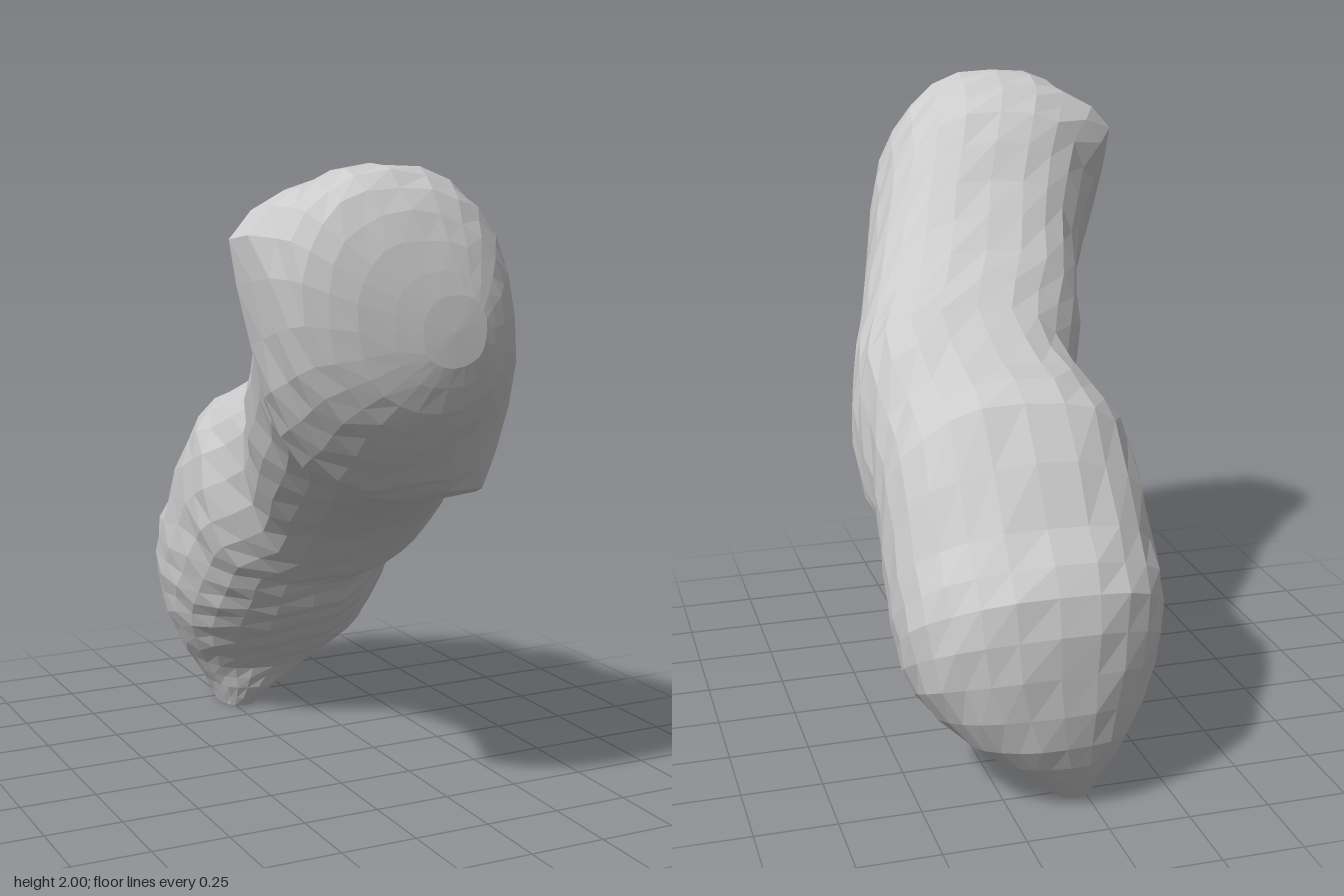
import * as THREE from 'three';

// Cross-sections from the front head to the foot:
// [upper z, upper y, lower z, lower y, min x, max x, sideways lean of the top]
const SECTIONS = [
  [0.97, 1.65, 0.97, 1.45, -0.12, 0.08, 0],
  [0.94, 1.80, 0.93, 1.32, -0.30, 0.16, -0.03],
  [0.88, 1.94, 0.86, 1.21, -0.43, 0.23, -0.05],
  [0.78, 2.00, 0.77, 1.10, -0.47, 0.29, -0.06],
  [0.62, 1.97, 0.68, 1.03, -0.49, 0.33, -0.06],
  [0.42, 1.90, 0.50, 0.97, -0.39, 0.38, -0.08],
  [0.25, 1.70, 0.25, 0.86, -0.29, 0.45, -0.08],
  [0.05, 1.51, 0.05, 0.74, -0.24, 0.52, -0.07],
  [-0.15, 1.37, -0.10, 0.60, -0.17, 0.54, -0.03],
  [-0.38, 1.25, -0.20, 0.54, -0.25, 0.53, 0],
  [-0.60, 1.19, -0.25, 0.45, -0.26, 0.54, 0],
  [-0.82, 0.88, -0.30, 0.39, -0.27, 0.545, 0],
  [-0.95, 0.72, -0.37, 0.31, -0.26, 0.54, 0],
  [-0.97, 0.48, -0.44, 0.24, -0.22, 0.50, 0],
  [-0.94, 0.24, -0.52, 0.16, -0.14, 0.36, 0],
  [-0.87, 0.10, -0.55, 0.08, -0.07, 0.20, 0],
  [-0.80, 0.00, -0.60, 0.00, -0.03, 0.10, 0],
];

// Local bulges (chin, temple, shoulder): centre, push, radius
const BULGES = [
  [new THREE.Vector3(0.19, 1.11, 0.70), new THREE.Vector3(0.02, -0.06, 0.03), 0.11],
  [new THREE.Vector3(-0.48, 1.78, 0.62), new THREE.Vector3(-0.08, 0.04, 0), 0.13],
  [new THREE.Vector3(0.42, 1.22, -0.16), new THREE.Vector3(0.03, 0.06, 0), 0.15],
];

const SIDES = 24;
const STEPS = 2; // rings per section

// Point on a slightly squared, leaning oval with a faint uneven ripple
function ovalPoint([uz, uy, lz, ly, x0, x1, lean], t, ring) {
  const half = (x1 - x0) / 2;
  const a = Math.sqrt(half * half - lean * lean);
  const ripple = 1 + 0.012 * Math.sin(7 * t + 3.1 * ring);
  const round = (v) => Math.sign(v) * Math.pow(Math.abs(v), 0.86) * ripple;
  const c = round(Math.cos(t)), s = round(Math.sin(t));
  const p = new THREE.Vector3(
    (x0 + x1) / 2 + a * c + lean * s,
    (uy + ly) / 2 + ((uy - ly) / 2) * s,
    (uz + lz) / 2 + ((uz - lz) / 2) * s
  );
  const start = p.clone();
  for (const [centre, push, radius] of BULGES) {
    const d = start.distanceTo(centre) / radius;
    p.addScaledVector(push, Math.exp(-d * d));
  }
  return p;
}

// Blend neighbouring sections
function sectionAt(u) {
  const i = Math.min(Math.floor(u), SECTIONS.length - 2);
  const f = u - i;
  const at = (k) => SECTIONS[Math.max(0, Math.min(SECTIONS.length - 1, k))];
  return SECTIONS[i].map((p1, k) => {
    const p0 = at(i - 1)[k], p2 = at(i + 1)[k], p3 = at(i + 2)[k];
    return p1 + 0.5 * f * (p2 - p0 + f * (2 * p0 - 5 * p1 + 4 * p2 - p3 + f * (3 * (p1 - p2) + p3 - p0)));
  });
}

function bodyGeometry() {
  const rings = (SECTIONS.length - 1) * STEPS + 1;
  const pos = [], index = [];
  for (let i = 0; i < rings; i++) {
    const section = sectionAt(i / STEPS);
    for (let j = 0; j < SIDES; j++) {
      const p = ovalPoint(section, (j / SIDES) * Math.PI * 2, i);
      pos.push(p.x, Math.max(0, p.y), p.z);
    }
  }
  for (let i = 0; i < rings - 1; i++) {
    for (let j = 0; j < SIDES; j++) {
      const k = (j + 1) % SIDES;
      const a = i * SIDES + j, b = i * SIDES + k;
      const c = a + SIDES, d = b + SIDES;
      index.push(a, c, b, b, c, d);
    }
  }
  // End caps
  const last = (rings - 1) * SIDES;
  const front = rings * SIDES, foot = front + 1;
  pos.push(-0.02, 1.55, 0.975, 0.04, 0, -0.7);
  for (let j = 0; j < SIDES; j++) {
    const k = (j + 1) % SIDES;
    index.push(front, j, k, foot, last + k, last + j);
  }
  const geo = new THREE.BufferGeometry();
  geo.setAttribute('position', new THREE.Float32BufferAttribute(pos, 3));
  geo.setIndex(index);
  geo.computeVertexNormals();
  return geo;
}

export function createModel() {
  const model = new THREE.Group();
  model.name = 'bentLump';
  const body = new THREE.Mesh(
    bodyGeometry(),
    new THREE.MeshStandardMaterial({ color: 0xcccccc, flatShading: true })
  );
  body.name = 'body';
  model.add(body);
  return model;
}
